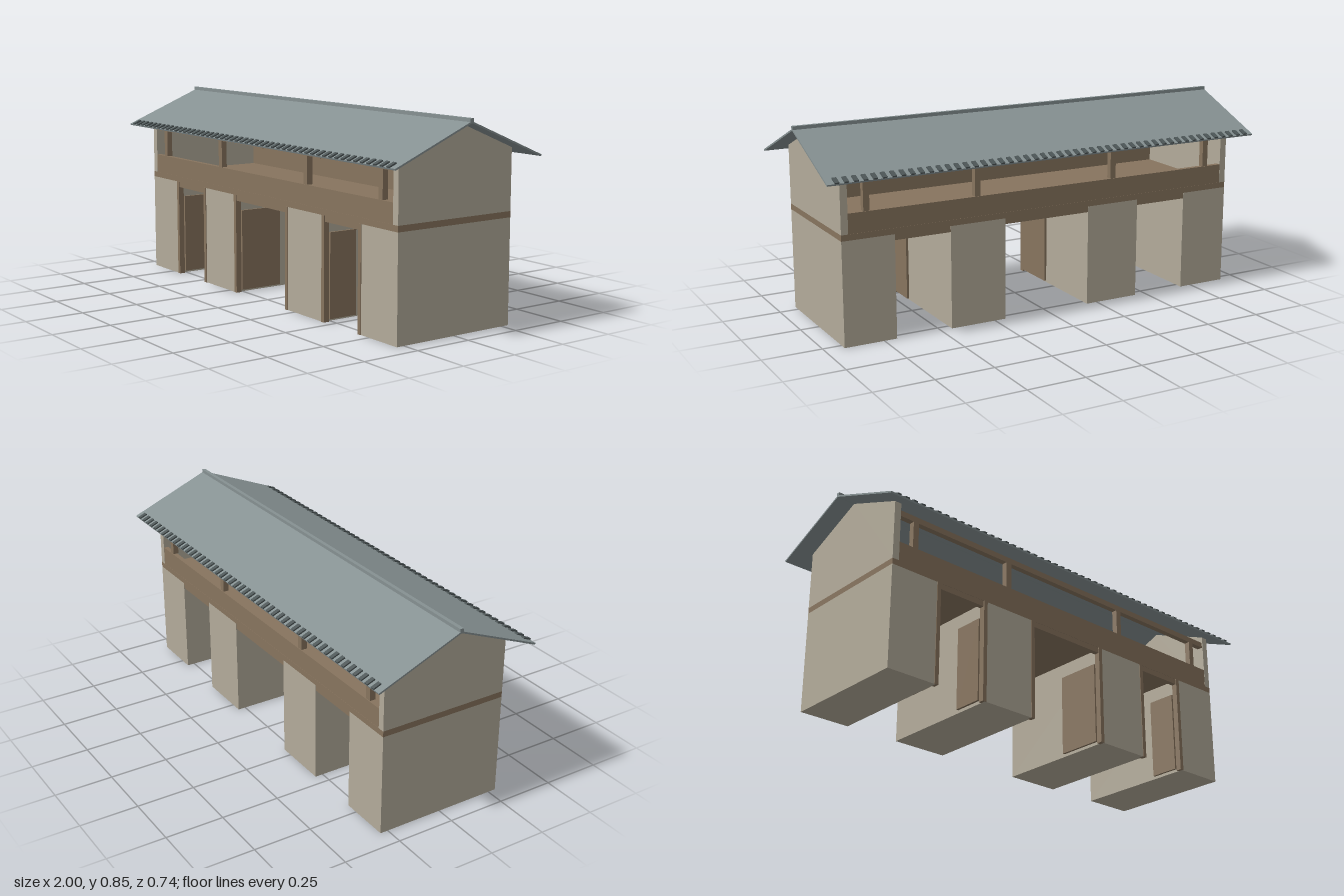
import * as THREE from 'three';

export function createModel() {
  const model = new THREE.Group();
  model.name = 'gatehouse';

  const make = (name, color) => {
    const m = new THREE.MeshStandardMaterial({ color });
    m.name = name;
    return m;
  };
  const plaster = make('plaster', 0xb3ab9a);
  const wood = make('wood', 0x87745e);
  const slate = make('roof slate', 0x869192);
  const darkSlate = make('dark slate', 0x4e5758);

  // Box given by its low and high corners
  const box = (name, mat, [x0, y0, z0], [x1, y1, z1], parent = model) => {
    const mesh = new THREE.Mesh(new THREE.BoxGeometry(x1 - x0, y1 - y0, z1 - z0), mat);
    mesh.position.set((x0 + x1) / 2, (y0 + y1) / 2, (z0 + z1) / 2);
    mesh.name = name;
    parent.add(mesh);
    return mesh;
  };

  const D = 0.284; // half depth of the walls

  // Four piers, leaving three passages
  for (const [a, b] of [[-0.92, -0.695], [-0.45, -0.2], [0.2, 0.45], [0.695, 0.92]])
    box('pier', plaster, [a, 0, -D], [b, 0.435, D]);

  // Upper floor slab
  box('floorSlab', wood, [-0.92, 0.435, -D], [0.92, 0.46, D]);

  // Gable end walls
  const gable = new THREE.Shape([
    [-D, 0.46], [D, 0.46], [D, 0.713], [0, 0.83], [-D, 0.713],
  ].map(([z, y]) => new THREE.Vector2(z, y)));
  const gableGeo = new THREE.ExtrudeGeometry(gable, { depth: 0.03, bevelEnabled: false });
  gableGeo.rotateY(Math.PI / 2);
  for (const x of [-0.92, 0.89]) {
    const wall = new THREE.Mesh(gableGeo, plaster);
    wall.position.x = x;
    wall.name = 'gableWall';
    model.add(wall);
  }

  // Parapet, gallery posts and top rail, front and back
  for (const s of [1, -1]) {
    const strip = (name, x0, x1, y0, y1, inner, outer) =>
      box(name, wood, [x0, y0, Math.min(s * inner, s * outer)], [x1, y1, Math.max(s * inner, s * outer)]);
    strip('parapet', -0.89, 0.89, 0.41, 0.543, 0.262, 0.283);
    strip('topRail', -0.89, 0.89, 0.66, 0.685, 0.255, 0.28);
    for (const x of [-0.81, -0.325, 0.325, 0.81])
      strip('galleryPost', x - 0.013, x + 0.013, 0.543, 0.66, 0.255, 0.28);
  }

  // Open door leaves and their jambs at the front of each passage
  const door = (x, dir, width) => {
    const span = (a, b) => [Math.min(x + dir * a, x + dir * b), Math.max(x + dir * a, x + dir * b)];
    const [j0, j1] = span(-0.006, 0.012);
    box('doorJamb', wood, [j0, 0, 0.262], [j1, 0.435, 0.287]);
    const [l0, l1] = span(0.005, 0.015);
    box('doorLeaf', wood, [l0, 0.01, 0.258 - width], [l1, 0.365, 0.258]);
  };
  for (const s of [1, -1]) {
    door(s * 0.2, -s, 0.2);
    door(s * 0.45, s, 0.13);
    door(s * 0.695, -s, 0.13);
  }

  // Roof slopes with a row of eave tiles
  const run = 0.366, drop = 0.15;
  const slopeLength = Math.hypot(run, drop);
  for (const s of [1, -1]) {
    const side = new THREE.Group();
    side.name = s > 0 ? 'frontRoof' : 'backRoof';
    side.position.y = 0.836;
    side.rotation.order = 'YXZ';
    side.rotation.set(Math.atan2(drop, run), s > 0 ? 0 : Math.PI, 0);
    box('roofSlope', slate, [-1, -0.007, 0], [1, 0, slopeLength], side);
    const count = 50;
    for (let i = 0; i < count; i++) {
      const x = -0.96 + (1.92 * i) / (count - 1);
      box('eaveTile', darkSlate, [x - 0.009, 0, slopeLength - 0.036], [x + 0.009, 0.006, slopeLength], side);
    }
    model.add(side);
  }

  // Ridge cap
  box('ridgeCap', slate, [-1, 0.828, -0.008], [1, 0.847, 0.008]);

  return model;
}
